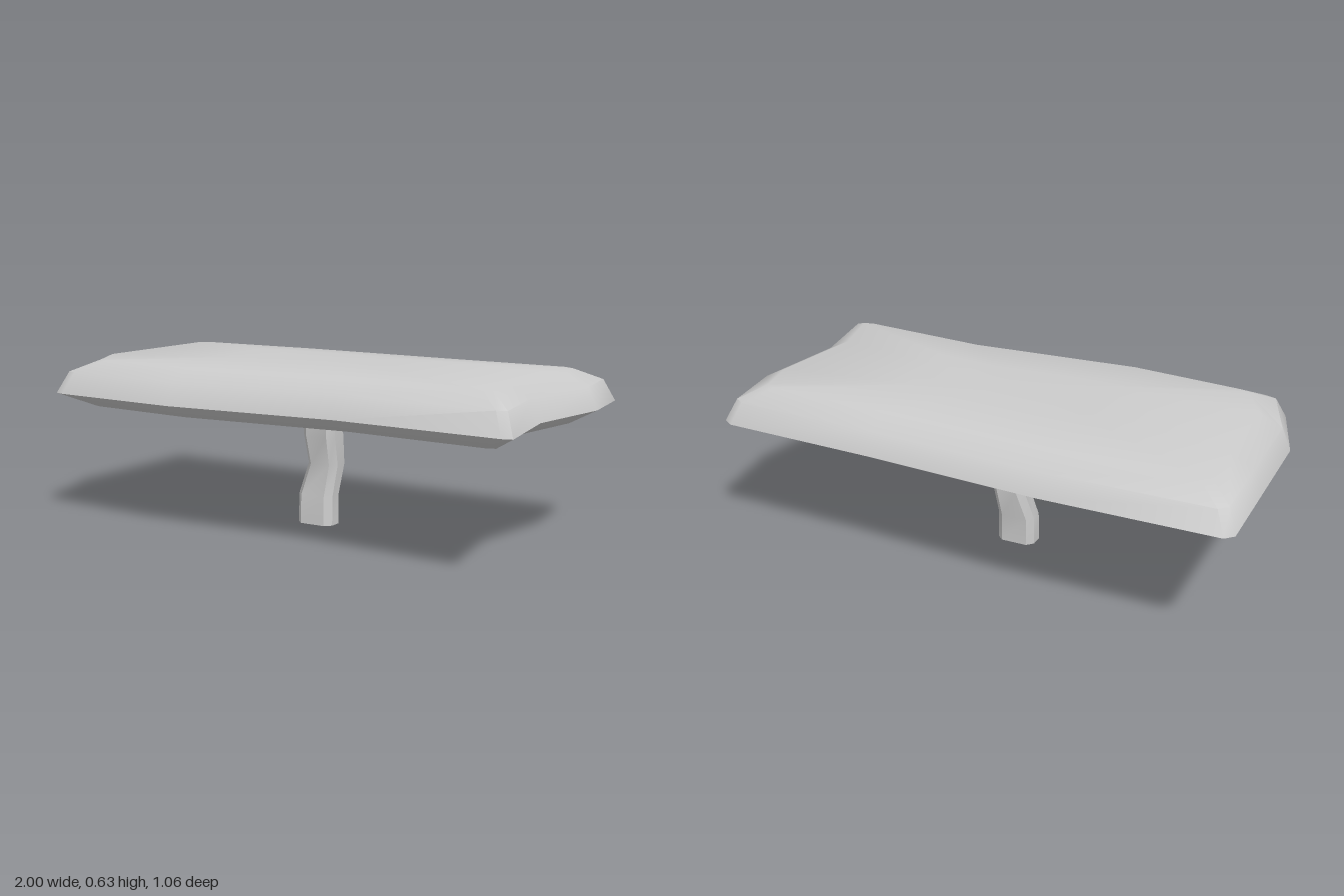
import * as THREE from 'three';
import { toCreasedNormals } from 'three/addons/utils/BufferGeometryUtils.js';

// Skin a stack of rings (bottom to top, clockwise seen from above) and cap both ends.
function loft(rings, crease) {
  const n = rings[0].length, pos = [], idx = [];
  rings.forEach((r) => r.forEach((p) => pos.push(...p)));
  for (let k = 0; k < rings.length - 1; k++) {
    for (let i = 0; i < n; i++) {
      const a = k * n + i, b = k * n + (i + 1) % n;
      idx.push(b, a, a + n, b, a + n, b + n);
    }
  }
  const cap = (k, up) => {
    const c = pos.length / 3, mid = [0, 0, 0];
    rings[k].forEach((p) => p.forEach((v, j) => { mid[j] += v / n; }));
    pos.push(...mid);
    for (let i = 0; i < n; i++) {
      const a = k * n + i, b = k * n + (i + 1) % n;
      idx.push(...(up ? [c, b, a] : [c, a, b]));
    }
  };
  cap(0, false);
  cap(rings.length - 1, true);
  const g = new THREE.BufferGeometry();
  g.setAttribute('position', new THREE.Float32BufferAttribute(pos, 3));
  g.setIndex(idx);
  return toCreasedNormals(g, crease);
}

// Wavy slab outline: x, z, and which way the edge faces in x and z
const outline = [
  [-0.97, -0.535, -1, -1], [-0.33, -0.535, 0, -1], [0.33, -0.495, 0, -1], [0.93, -0.475, 1, -1],
  [0.97, -0.45, 1, -1], [1.0, -0.18, 1, 0], [0.94, 0.18, 1, 0], [0.99, 0.515, 1, 1],
  [0.955, 0.525, 1, 1], [0.33, 0.485, 0, 1], [-0.33, 0.525, 0, 1], [-0.87, 0.485, -1, 1],
  [-0.91, 0.47, -1, 1], [-1.0, 0.18, -1, 0], [-1.0, -0.18, -1, 0], [-1.0, -0.505, -1, -1],
];

function slabRing(inset, y, scale = 1) {
  return outline.map(([x, z, sx, sz]) =>
    [(x - sx * inset) * scale, y, (z - sz * inset) * scale]);
}

// Chamfered rectangle cross-section of the post
function postRing([y, x0, x1, z0, z1]) {
  const c = 0.024;
  return [
    [x0 + c, y, z0], [x1 - c, y, z0], [x1, y, z0 + c], [x1, y, z1 - c],
    [x1 - c, y, z1], [x0 + c, y, z1], [x0, y, z1 - c], [x0, y, z0 + c],
  ];
}

export function createModel() {
  const group = new THREE.Group();
  const material = new THREE.MeshStandardMaterial({ color: 0xcccccc });

  // Board with a rounded rim and a slightly domed top
  const board = new THREE.Mesh(loft([
    slabRing(0.1, 0.437),
    slabRing(0, 0.49),
    slabRing(0.035, 0.57),
    slabRing(0.12, 0.613),
    slabRing(0.12, 0.63, 0.42),
  ], 0.8), material);
  board.name = 'board';

  // Crooked post: y, then x and z extents at each height
  const levels = [
    [0, -0.1, 0.05, -0.045, 0.05],
    [0.11, -0.1, 0.048, -0.046, 0.045],
    [0.23, -0.068, 0.06, -0.07, 0.027],
    [0.34, -0.072, 0.064, -0.055, 0.054],
    [0.46, -0.075, 0.06, -0.045, 0.05],
  ];
  const post = new THREE.Mesh(loft(levels.map(postRing), 0.6), material);
  post.name = 'post';

  group.add(board, post);
  return group;
}
